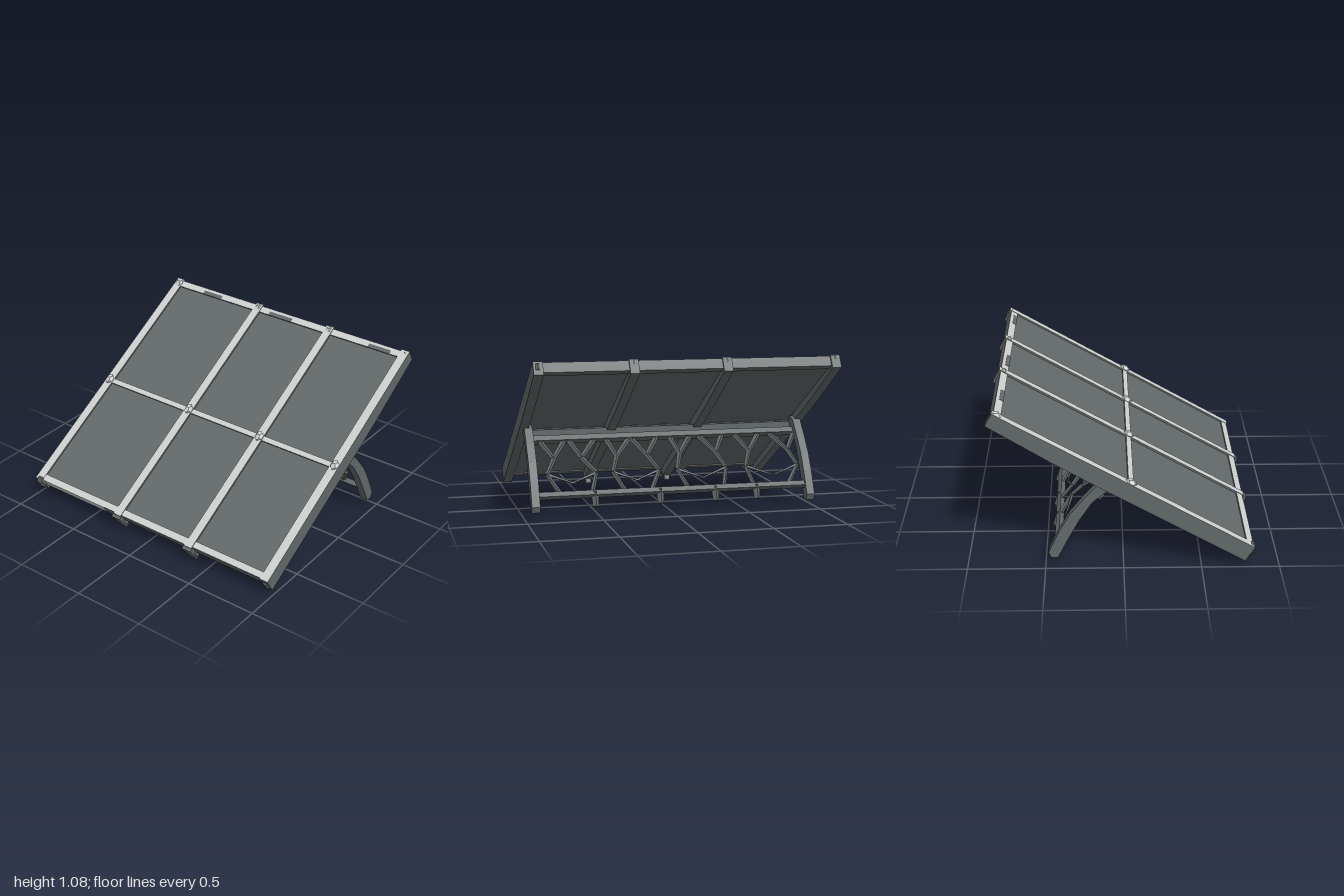
import * as THREE from 'three';

const light = new THREE.MeshStandardMaterial({ color: 0xcfd1d1, flatShading: true });
light.name = 'paleFrame';
const dark = new THREE.MeshStandardMaterial({ color: 0x63696a, flatShading: true });
dark.name = 'darkGrey';
const topLit = [dark, dark, light, dark, dark, dark];

let seed = 7;
const rnd = () => ((seed = (seed * 16807) % 2147483647) / 2147483647) * 2 - 1;

function add(parent, name, geo, mat, x = 0, y = 0, z = 0) {
  const m = new THREE.Mesh(geo, mat);
  m.name = name;
  m.position.set(x, y, z);
  parent.add(m);
  return m;
}

// box given by its extents
function block(parent, name, mat, x0, x1, y0, y1, z0, z1) {
  return add(parent, name, new THREE.BoxGeometry(x1 - x0, y1 - y0, z1 - z0), mat,
    (x0 + x1) / 2, (y0 + y1) / 2, (z0 + z1) / 2);
}

// long beam down the slope, its underside thinning toward the upper end
function beam(parent, name, x, w, z0, z1, top, bottom, bottomBack) {
  const geo = new THREE.BoxGeometry(w, 1, z1 - z0, 1, 1, 8);
  const p = geo.attributes.position;
  for (let i = 0; i < p.count; i++) {
    const t = p.getZ(i) / (z1 - z0) + 0.5;
    const low = t < 0.3 ? THREE.MathUtils.lerp(bottomBack, bottom, t / 0.3) : bottom;
    p.setY(i, p.getY(i) > 0 ? top : low);
  }
  geo.computeVertexNormals();
  return add(parent, name, geo, topLit, x, 0, (z0 + z1) / 2);
}

// rough lump at a joint
function knob(parent, mat, x, y, z, sx, sy, sz) {
  const m = add(parent, 'jointKnob', new THREE.DodecahedronGeometry(1, 0), mat, x, y, z);
  m.scale.set(sx, sy, sz);
}

// tapered four-sided rod between two points
function rod(parent, name, a, b, r0, r1) {
  const d = b.clone().sub(a);
  const m = add(parent, name, new THREE.CylinderGeometry(r1, r0, d.length(), 4), dark);
  m.position.copy(a).addScaledVector(d, 0.5);
  m.quaternion.setFromUnitVectors(new THREE.Vector3(0, 1, 0), d.normalize());
}

export function createModel() {
  const root = new THREE.Group();
  root.name = 'tiltedPanel';

  // tilted panel with its frame
  const panel = new THREE.Group();
  panel.name = 'panel';
  panel.position.y = 0.55;
  panel.rotation.x = 0.52;
  root.add(panel);

  block(panel, 'panelSheet', dark, -0.96, 0.96, 0.005, 0.054, -0.94, 0.91);

  const ribs = [-0.24, 0.365];
  for (const s of [-1, 1]) beam(panel, 'sideRail', s * 0.967, 0.062, -0.965, 0.925, 0.066, -0.048, -0.025);
  for (const x of ribs) beam(panel, 'rib', x, 0.06, -0.965, 0.93, 0.068, -0.056, -0.03);

  block(panel, 'upperRail', topLit, -0.96, 0.96, -0.005, 0.064, -0.953, -0.902);
  block(panel, 'lowerRail', topLit, -0.96, 0.96, -0.002, 0.064, 0.872, 0.918);
  block(panel, 'middleRail', topLit, -0.96, 0.96, -0.045, 0.064, -0.002, 0.036);

  // worn pale paint on the lower edge
  block(panel, 'paleEdge', light, -0.93, -0.37, 0.004, 0.064, 0.917, 0.921);
  block(panel, 'paleEdge', light, -0.2, 0.33, 0.047, 0.064, 0.917, 0.921);

  // dark worn patches on the upper rail
  for (const [a, b] of [[-0.72, -0.56], [-0.13, 0.06], [0.7, 0.87]])
    block(panel, 'wornPatch', dark, a, b, 0.062, 0.0655, -0.93, -0.9);

  // joint knobs along the middle rail and at the ends of the beams
  for (const x of [-0.968, ...ribs, 0.968]) knob(panel, light, x, 0.068, 0.015, 0.03, 0.026, 0.04);
  for (const x of ribs) {
    knob(panel, light, x, 0.048, -0.935, 0.026, 0.036, 0.034);
    // pointed feet hanging from the lower ends of the ribs
    const foot = add(panel, 'ribFoot', new THREE.CylinderGeometry(0.05, 0.024, 0.15, 4), dark, x, -0.014, 0.918);
    foot.rotation.y = Math.PI / 4;
    foot.geometry.rotateY(Math.PI / 4);
    foot.rotation.set(0, 0, 0);
  }
  knob(panel, light, -0.965, 0.052, -0.93, 0.035, 0.034, 0.04);
  knob(panel, dark, 0.97, 0.03, -0.945, 0.03, 0.04, 0.03);
  knob(panel, dark, -0.955, 0.025, 0.918, 0.042, 0.058, 0.035);
  knob(panel, dark, 0.967, 0, 0.915, 0.033, 0.045, 0.025);

  // rear stand
  const stand = new THREE.Group();
  stand.name = 'stand';
  root.add(stand);

  const outline = [[0.06, 0.54], [0.1, 0.6], [0.17, 0.58], [0.25, 0.49], [0.34, 0.38], [0.41, 0.26],
    [0.48, 0.11], [0.465, 0.07], [0.42, 0.07], [0.36, 0.19], [0.28, 0.34], [0.2, 0.46], [0.12, 0.53]];
  const legGeo = new THREE.ExtrudeGeometry(new THREE.Shape(outline.map(p => new THREE.Vector2(...p))),
    { depth: 0.055, bevelEnabled: false });
  legGeo.rotateY(Math.PI / 2);
  for (const x of [-0.94, 0.94]) add(stand, 'rearLeg', legGeo, dark, x - 0.0275);

  const V = (x, y, z) => new THREE.Vector3(x, y, z);
  rod(stand, 'lowerCrossbar', V(-0.94, 0.17, -0.415), V(0.94, 0.17, -0.415), 0.026, 0.026);
  rod(stand, 'upperCrossbar', V(-0.94, 0.5, -0.15), V(0.94, 0.5, -0.15), 0.03, 0.03);
  block(stand, 'mountingStrip', dark, -0.92, 0.92, 0.5, 0.56, -0.1, -0.04);
  for (const x of [0.54, 0.1, -0.28, -0.57])
    rod(stand, 'crossbarStub', V(x, 0.09, -0.445), V(x, 0.18, -0.41), 0.02, 0.028);

  // crooked branching braces between the crossbars
  const at = (x, t) => V(x, 0.5 - 0.33 * t, -0.15 - 0.265 * t - 0.02 * Math.sin(Math.PI * t));
  for (let i = 0; i < 8; i++) {
    const x = -0.8 + i * 0.23 + rnd() * 0.03;
    const foot = at(x + rnd() * 0.04, 1), knee = at(x + 0.06 * (i % 2 ? 1 : -1), 0.62);
    const fork = at(x + rnd() * 0.03, 0.34);
    rod(stand, 'brace', foot, knee, 0.016, 0.014);
    rod(stand, 'brace', knee, fork, 0.014, 0.017);
    for (const s of [-1, 1]) rod(stand, 'braceFork', fork, at(x + s * 0.09 + rnd() * 0.02, 0), 0.015, 0.02);
    rod(stand, 'braceTwig', knee, at(x + 0.12 * (i % 2 ? -1 : 1), 0.8), 0.011, 0.005);
    // short strut up to the underside of the panel
    rod(stand, 'strut', V(x, 0.5, -0.15), V(x + rnd() * 0.08, 0.48, -0.02), 0.014, 0.012);
  }
  return root;
}
